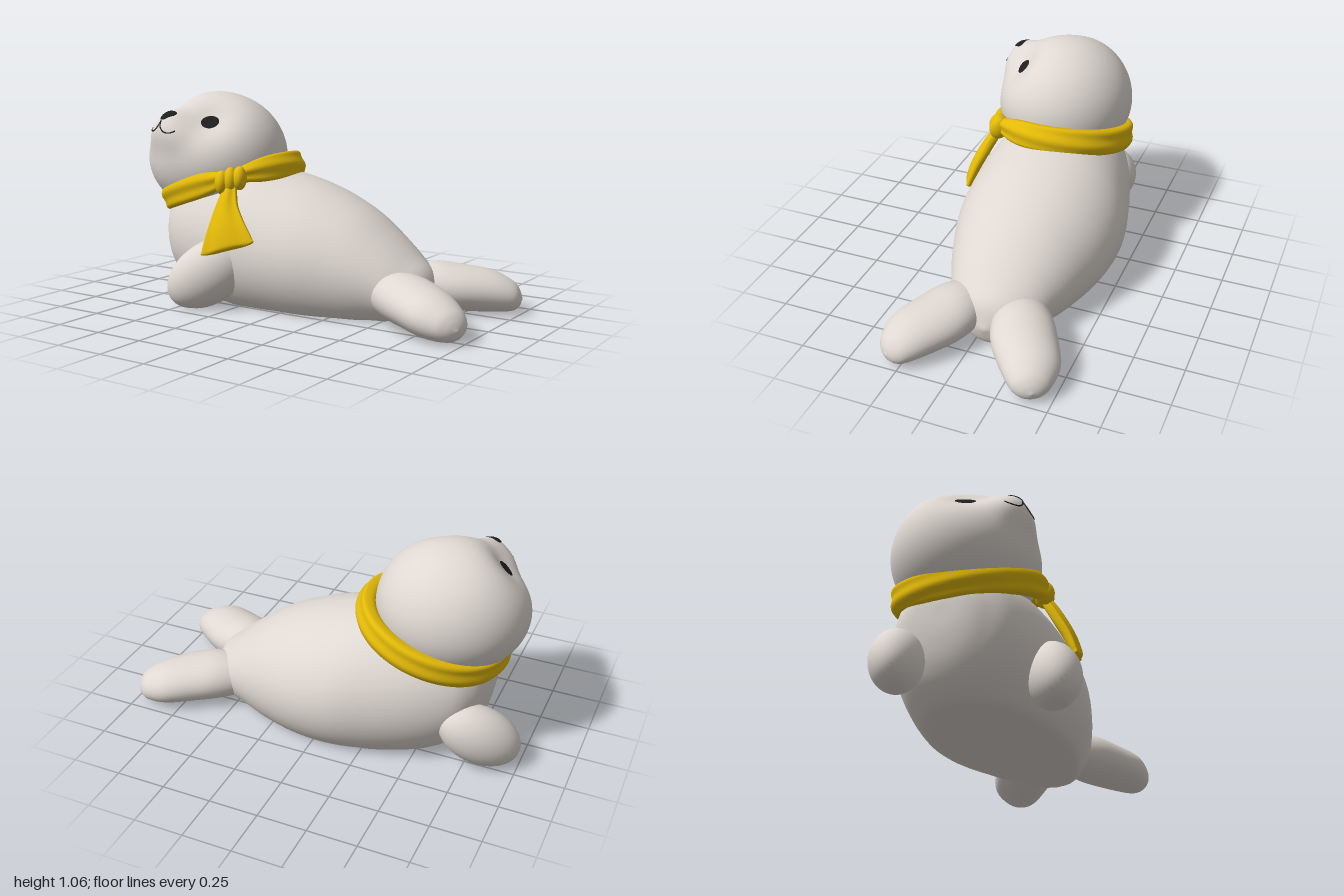
import * as THREE from 'three';
import { mergeVertices } from 'three/addons/utils/BufferGeometryUtils.js';

const V = (x, y, z) => new THREE.Vector3(x, y, z);
const UP = V(0, 1, 0);
const TAU = Math.PI * 2;
const spow = (c, p) => Math.sign(c) * Math.abs(c) ** p;

// Smooth welded surface from a rule point(u, v), with u and v in 0..1
function surface(nu, nv, point) {
  const pos = [], index = [];
  for (let i = 0; i <= nu; i++) {
    for (let j = 0; j <= nv; j++) pos.push(...point(i / nu, j / nv).toArray());
  }
  for (let i = 0; i < nu; i++) {
    for (let j = 0; j < nv; j++) {
      const a = i * (nv + 1) + j, b = a + nv + 1;
      index.push(a, b, b + 1, a, b + 1, a + 1);
    }
  }
  let geo = new THREE.BufferGeometry();
  geo.setAttribute('position', new THREE.Float32BufferAttribute(pos, 3));
  geo.setIndex(index);
  geo = mergeVertices(geo, 1e-4);
  geo.computeVertexNormals();
  return geo;
}

// Smooth interpolation through rows of numbers, u in 0..1
function spline(rows) {
  const s = new THREE.CubicInterpolant(rows.map((_, i) => i), rows.flat(), rows[0].length);
  return (u) => Array.from(s.evaluate(u * (rows.length - 1)));
}

// Unit sphere direction
const sphereDir = (u, v) => V(
  Math.sin(u * Math.PI) * Math.sin(v * TAU), Math.cos(u * Math.PI), Math.sin(u * Math.PI) * Math.cos(v * TAU));

// Ellipsoid with its long axis along dir, flattened where it meets the ground
function blob(center, dir, [rx, ry, rz]) {
  const d = dir.clone().normalize();
  const side = UP.clone().cross(d).normalize();
  const up = d.clone().cross(side);
  return surface(32, 40, (u, v) => {
    const s = sphereDir(u, v);
    const p = center.clone().addScaledVector(side, s.x * rx)
      .addScaledVector(up, s.y * ry).addScaledVector(d, s.z * rz);
    p.y = Math.max(0, p.y);
    return p;
  });
}

// Head: an ellipsoid with eye hollows, a two-lobed muzzle and a raised nose
const HEAD = V(-0.575, 0.72, -0.01);
const EYES = [V(0.105, 0.195, 0.2), V(-0.205, 0.19, 0.09)];
const NOSE = V(-0.095, 0.235, 0.295);
const MOUTH = V(-0.115, 0.165, 0.35);
const FACE_SIDE = V(0.95, 0, 0.31);
const BUMPS = [
  ...EYES.map((e) => [e.clone().normalize(), -0.053, 0.38]),
  ...[-1, 1].map((s) => [MOUTH.clone().addScaledVector(FACE_SIDE, s * 0.075).normalize(), 0.038, 0.24]),
  [NOSE.clone().normalize(), 0.032, 0.2],
];
function headPoint(dir, lift = 0) {
  const d = dir.clone().normalize();
  let r = 1 / Math.hypot(d.x / 0.375, d.y / (d.y > 0 ? 0.34 : 0.305), d.z / 0.35);
  for (const [b, amount, width] of BUMPS) r += amount * Math.exp(-((d.angleTo(b) / width) ** 2));
  return d.multiplyScalar(r + lift).add(HEAD);
}
// Point on the face, offset sideways by a and upwards by b from a direction
function facePoint(dir, a, b, lift) {
  const side = UP.clone().cross(dir).normalize();
  const up = dir.clone().cross(side).normalize();
  return headPoint(dir.clone().addScaledVector(side, a).addScaledVector(up, b), lift);
}
const facePatch = (dir, w, h, shape = () => 1) => surface(8, 36, (u, v) => {
  const t = v * TAU, r = u * shape(t);
  return facePoint(dir, Math.cos(t) * r * w, Math.sin(t) * r * h, 0.006 - 0.004 * u ** 4);
});

// Body cross-sections: x, top, bottom, widest height, z centre, half width
const bodyAt = spline([
  [-0.812, 0.41, 0.41, 0.41, -0.03, 0],
  [-0.80, 0.50, 0.26, 0.40, -0.03, 0.13],
  [-0.76, 0.58, 0.13, 0.36, -0.03, 0.215],
  [-0.68, 0.64, 0.03, 0.32, -0.03, 0.295],
  [-0.52, 0.68, -0.06, 0.30, -0.04, 0.362],
  [-0.30, 0.685, -0.11, 0.27, -0.055, 0.41],
  [-0.10, 0.648, -0.12, 0.25, -0.07, 0.428],
  [0.10, 0.59, -0.12, 0.23, -0.07, 0.405],
  [0.30, 0.50, -0.10, 0.20, -0.065, 0.34],
  [0.45, 0.395, -0.06, 0.17, -0.06, 0.275],
  [0.57, 0.295, -0.03, 0.13, -0.06, 0.215],
  [0.65, 0.22, 0, 0.11, -0.06, 0.13],
  [0.69, 0.10, 0.10, 0.10, -0.06, 0],
]);
const bodyGeometry = () => surface(84, 72, (u, v) => {
  const [x, top, bottom, mid, zc, half] = bodyAt(u);
  const s = Math.sin(v * TAU);
  const y = mid + s * (s > 0 ? top - mid : mid - bottom);
  return V(x, Math.max(0, y), zc + half * Math.cos(v * TAU));
});

// Rear flipper sections: x, y, distance from the middle line, half width, half height
const rearAt = spline([
  [0.36, 0.12, 0.05, 0, 0], [0.40, 0.12, 0.07, 0.05, 0.05], [0.50, 0.13, 0.12, 0.11, 0.095],
  [0.61, 0.132, 0.17, 0.148, 0.117], [0.72, 0.122, 0.225, 0.157, 0.114],
  [0.85, 0.105, 0.305, 0.14, 0.102], [0.94, 0.085, 0.343, 0.098, 0.076],
  [0.975, 0.075, 0.358, 0.055, 0.044], [0.99, 0.07, 0.365, 0, 0],
]);
const rearFlipper = (side) => surface(56, 40, (u, v) => {
  const [x, y, z, w, h] = rearAt(u);
  const across = V(0.9, 0, 0.44 * side).cross(UP).normalize();
  const p = V(x, y + h * Math.sin(v * TAU), -0.057 + side * z).addScaledVector(across, w * Math.cos(v * TAU));
  p.y = Math.max(0, p.y);
  return p;
});

// Scarf band: a snug tilted ring with a soft fold, pinched at the knot
const KNOT_ANGLE = 0.95;
const scarfBand = () => surface(120, 36, (u, v) => {
  const f = u * TAU, c = Math.cos(v * TAU), s = Math.sin(v * TAU);
  const away = Math.atan2(Math.sin(f - KNOT_ANGLE), Math.cos(f - KNOT_ANGLE));
  const half = 0.066 - 0.03 * Math.exp(-((away / 0.35) ** 2));
  const reach = c > 0 ? 0.03 + 0.005 * Math.cos(s * 5 + Math.sin(f) * 2) : 0.065;
  const x = 0.345 * Math.cos(f), z = 0.338 * Math.sin(f) - 0.03;
  return V(x - 0.49, 0.593 + 0.31 * x, z)
    .addScaledVector(V(Math.cos(f), 0.3 * Math.cos(f), Math.sin(f)), reach * spow(c, 0.7))
    .addScaledVector(V(-0.296, 0.955, 0), -half * s);
});

// Hanging scarf end: x, y, z, half width, half thickness
const endAt = spline([
  [-0.285, 0.63, 0.26, 0, 0], [-0.285, 0.60, 0.275, 0.035, 0.022], [-0.27, 0.51, 0.325, 0.064, 0.027],
  [-0.24, 0.42, 0.368, 0.102, 0.026], [-0.216, 0.345, 0.392, 0.134, 0.023],
  [-0.21, 0.32, 0.398, 0.13, 0.017], [-0.208, 0.314, 0.399, 0, 0],
]);
const scarfEnd = () => surface(60, 48, (u, v) => {
  const [x, y, z, w, h] = endAt(u);
  const c = Math.cos(v * TAU), s = Math.sin(v * TAU);
  const fold = h * 0.25 * Math.cos(c * 5);
  return V(x, y, z)
    .addScaledVector(V(0.92, 0.28, -0.28), w * spow(c, 0.8))
    .addScaledVector(V(0.2, 0.35, 0.91), -h * spow(s, 0.7) + fold);
});

export function createModel() {
  const model = new THREE.Group();
  const material = (name, color) => Object.assign(new THREE.MeshStandardMaterial({ color }), { name });
  const fur = material('pale grey fur', 0xdfd8d2);
  const cloth = material('yellow cloth', 0xe3ba08);
  const dark = material('black features', 0x1e1e1e);
  const add = (name, geo, mat) => {
    const mesh = new THREE.Mesh(geo, mat);
    mesh.name = name;
    model.add(mesh);
  };

  add('body', bodyGeometry(), fur);
  add('head', surface(72, 112, (u, v) => headPoint(sphereDir(u, v))), fur);
  add('leftFrontFlipper', blob(V(-0.37, 0.175, 0.33), V(-0.7, -0.55, 0.45), [0.135, 0.155, 0.24]), fur);
  add('rightFrontFlipper', blob(V(-0.81, 0.165, -0.225), V(-0.78, -0.5, 0.36), [0.125, 0.145, 0.22]), fur);
  add('leftRearFlipper', rearFlipper(1), fur);
  add('rightRearFlipper', rearFlipper(-1), fur);

  // Face
  add('leftEye', facePatch(EYES[0], 0.046, 0.04), dark);
  add('rightEye', facePatch(EYES[1], 0.046, 0.04), dark);
  add('nose', facePatch(NOSE, 0.045, 0.037, (t) => 1 + 0.14 * Math.cos(3 * (t + Math.PI / 2))), dark);
  for (const s of [-1, 1]) {
    const pts = [[0, 0.045], [0.012, 0.01], [0.045, -0.012], [0.085, -0.01], [0.112, 0.01]]
      .map(([a, b]) => facePoint(MOUTH, s * a, b, 0));
    add(s > 0 ? 'leftMouthLine' : 'rightMouthLine',
      new THREE.TubeGeometry(new THREE.CatmullRomCurve3(pts), 32, 0.0035, 8), dark);
  }

  // Scarf
  add('scarfBand', scarfBand(), cloth);
  add('scarfEnd', scarfEnd(), cloth);
  for (const k of [-1, 0, 1]) {
    const center = V(-0.288 + 0.042 * k, 0.64 + 0.012 * k, 0.262 - 0.018 * k);
    add('scarfKnotFold', blob(center, V(0.5, 0.1, 0.85), [0.036, 0.066 - 0.006 * Math.abs(k), 0.05]), cloth);
  }
  return model;
}
